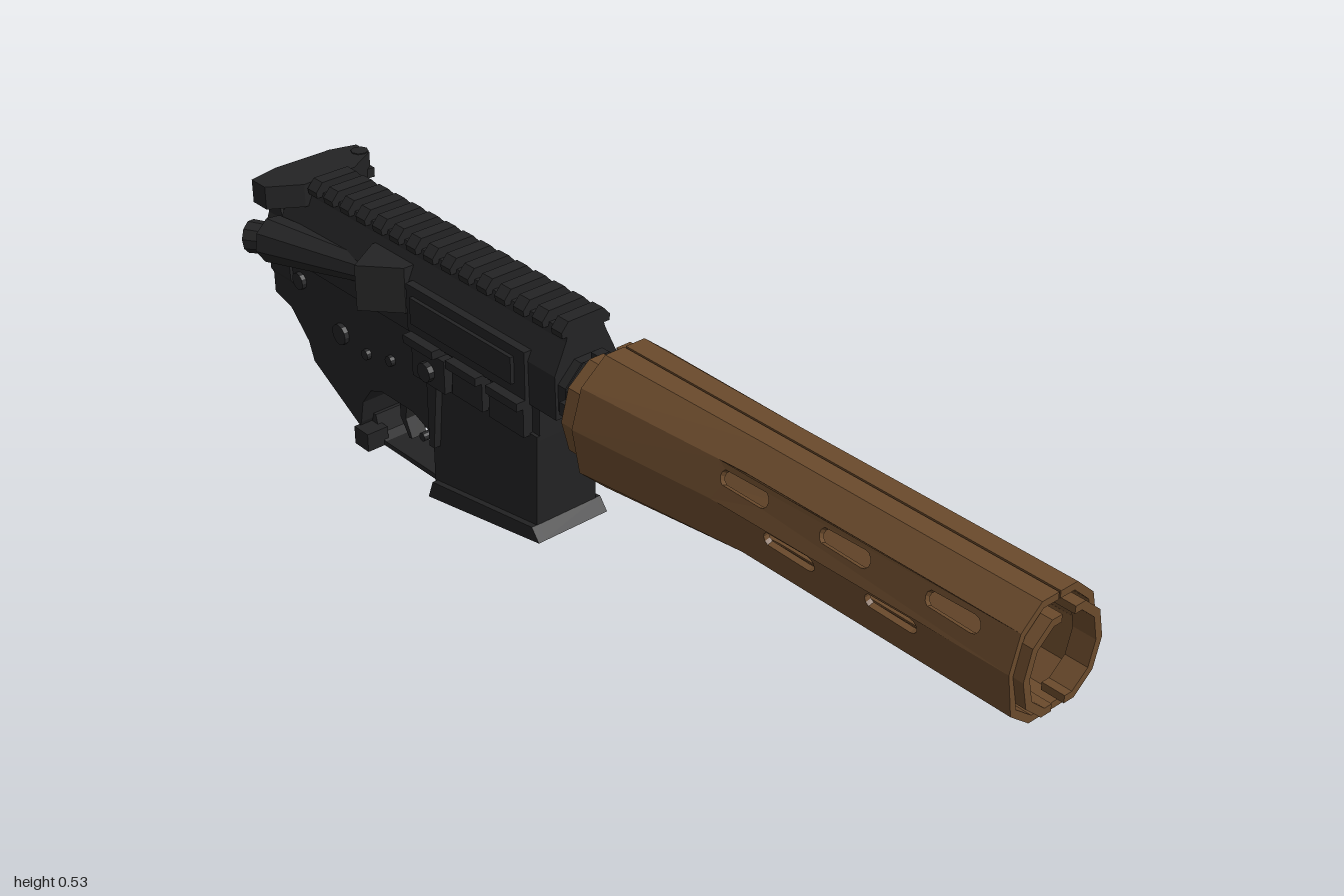
import * as THREE from 'three';

export function createModel() {
  const model = new THREE.Group();
  model.position.z = -0.022;
  const black = new THREE.MeshStandardMaterial({ color: 0x232324 });
  black.name = 'black metal';
  const brown = new THREE.MeshStandardMaterial({ color: 0x6a4a2c });
  brown.name = 'brown furniture';

  const add = (name, geo, mat = black) => {
    const flat = geo.index ? geo.toNonIndexed() : geo;
    flat.computeVertexNormals();
    const mesh = new THREE.Mesh(flat, mat);
    mesh.name = name;
    model.add(mesh);
    return mesh;
  };
  const shapeOf = pts => new THREE.Shape(pts.map(p => new THREE.Vector2(p[0], p[1])));
  // box given by its limits
  const box = (name, x0, x1, y0, y1, z0, z1) => add(name,
    new THREE.BoxGeometry(x1 - x0, y1 - y0, z1 - z0).translate((x0 + x1) / 2, (y0 + y1) / 2, (z0 + z1) / 2));
  // side outline (x, y) with thickness in z
  const plate = (name, pts, z0, z1, holes = []) => {
    const s = shapeOf(pts);
    s.holes = holes.map(shapeOf);
    return add(name, new THREE.ExtrudeGeometry(s, { depth: z1 - z0, bevelEnabled: false }).translate(0, 0, z0));
  };
  // cross-section (z, y) drawn out along x
  const along = (name, pts, x0, x1, mat) => add(name,
    new THREE.ExtrudeGeometry(shapeOf(pts.map(p => [-p[0], p[1]])), { depth: x1 - x0, bevelEnabled: false })
      .rotateY(Math.PI / 2).translate(x0, 0, 0), mat);
  // plan outline (x, z) with thickness in y
  const plan = (name, pts, y0, y1) => add(name,
    new THREE.ExtrudeGeometry(shapeOf(pts.map(p => [p[0], -p[1]])), { depth: y1 - y0, bevelEnabled: false })
      .rotateX(-Math.PI / 2).translate(0, y0, 0));
  // cylinder between two points
  const rod = (name, a, b, ra, rb, sides = 10) => {
    const A = new THREE.Vector3(...a), d = new THREE.Vector3(...b).sub(A), len = d.length();
    const q = new THREE.Quaternion().setFromUnitVectors(new THREE.Vector3(0, 1, 0), d.normalize());
    return add(name, new THREE.CylinderGeometry(rb, ra, len, sides).translate(0, len / 2, 0)
      .applyQuaternion(q).translate(A.x, A.y, A.z));
  };

  // ---- handguard: two mirrored hollow shells, tapering towards the middle ----
  const CY = 0.395, lerp = THREE.MathUtils.lerp;
  const rear = [[.002, .24], [.045, .24], [.105, .295], [.122, .39], [.1, .465], [.045, .51], [.002, .51]];
  const front = [[.002, .285], [.04, .285], [.085, .32], [.1, .405], [.082, .472], [.04, .51], [.002, .51]];
  const corner = (k, x) => {
    const t = THREE.MathUtils.clamp((x - 0.01) / 0.39, 0, 1);
    return [lerp(rear[k][0], front[k][0], t), lerp(rear[k][1], front[k][1], t)];
  };
  const slot = (k, x0, x1, yc) => {
    const r = 0.015, pts = [];
    for (let i = 0; i < 12; i++) {
      const a = -Math.PI / 2 + (i % 12) * Math.PI / 5.5 * (11 / 12);
      const right = Math.cos(a) >= 0;
      const x = (right ? x1 - r : x0 + r) + r * Math.cos(a), y = yc + r * Math.sin(a);
      const lo = corner(k, x)[1], hi = corner(k + 1, x)[1];
      pts.push([x, (y - lo) / (hi - lo)]);
    }
    return pts;
  };
  const panel = (k, xa, xb, slots, side) => {
    const s = shapeOf([[xa, 0], [xb, 0], [xb, 1], [xa, 1]]);
    s.holes = slots.map(h => shapeOf(slot(k, ...h)));
    const geo = new THREE.ExtrudeGeometry(s, { depth: 1, bevelEnabled: false });
    const p = geo.attributes.position;
    for (let i = 0; i < p.count; i++) {
      const x = p.getX(i), v = p.getY(i), f = lerp(0.88, 1, p.getZ(i));
      const a = corner(k, x), b = corner(k + 1, x);
      p.setXYZ(i, x, CY + (lerp(a[1], b[1], v) - CY) * f, side * lerp(a[0], b[0], v) * f);
    }
    if (side < 0) for (let i = 0; i < p.count; i += 3) { // keep mirrored faces outward
      const u = [p.getX(i), p.getY(i), p.getZ(i)];
      p.setXYZ(i, p.getX(i + 1), p.getY(i + 1), p.getZ(i + 1));
      p.setXYZ(i + 1, ...u);
    }
    add('handguardPanel', geo, brown);
  };
  const slots = {
    2: [[.46, .575, .385], [.685, .795, .385]],
    3: [[.35, .46, .447], [.575, .685, .447], [.80, .91, .447]],
  };
  for (const side of [1, -1]) {
    for (let k = 0; k < 6; k++) {
      const split = k === 3 ? 0.34 : 0.4;
      panel(k, 0.01, split, [], side);
      panel(k, split, 0.98, slots[k] || [], side);
    }
    // end collars, split top and bottom
    for (const [x0, x1, w, h, cy, f] of [[-.03, .03, .112, .102, .383, .8], [.955, 1, .09, .09, .397, .84]]) {
      const half = [[.015, -h], [.42 * w, -h], [.85 * w, -.62 * h], [w, 0], [.85 * w, .62 * h], [.42 * w, h], [.015, h]];
      const inner = half.map(([z, y], i) => [i % 6 ? z * f : z, y * f]).reverse();
      along('handguardCollar', [...half, ...inner].map(([z, y]) => [side * z, cy + y]), x0, x1, brown);
    }
  }

  // ---- upper receiver ----
  along('upperReceiver', [[-.07, .34], [.07, .34], [.072, .43], [.045, .49], [.04, .508], [-.04, .508], [-.045, .49], [-.072, .43]], -.94, -.095);
  for (let i = 0; i < 15; i++) {
    const x = -0.865 + i * 0.053;
    along('railTooth', [[-.054, .5], [.054, .5], [.056, .512], [.04, .53], [-.04, .53], [-.056, .512]], x, x + 0.029);
  }
  box('ejectionPortFrame', -.52, -.17, .35, .45, .06, .08);
  box('ejectionPortCover', -.5, -.2, .375, .43, .075, .088);
  for (const x of [-.51, -.38, -.26]) box('coverHinge', x, x + .09, .335, .352, .06, .1);
  plan('caseDeflector', [[-.65, .06], [-.6, .138], [-.53, .075], [-.53, .05], [-.65, .05]], .38, .475);
  rod('forwardAssistHousing', [-.64, .41, .045], [-.93, .395, .105], .025, .048, 8);
  rod('forwardAssistButton', [-.92, .395, .1], [-.975, .39, .125], .03, .034, 10);
  box('leftRib', -.8, -.62, .43, .46, -.082, -.06);
  box('leftRib', -.5, -.28, .43, .462, -.082, -.06);

  // charging handle with its latch
  plan('chargingHandle', [[-.97, -.07], [-.955, -.125], [-.91, -.125], [-.87, -.06], [-.87, .06], [-.91, .125], [-.955, .125], [-.97, .06]], .472, .52);
  plan('handleLatch', [[-.965, -.06], [-.95, -.13], [-.9, -.128], [-.905, -.09], [-.93, -.06]], .468, .488);
  rod('handleLatchTip', [-.925, .47, -.112], [-.925, .522, -.112], .018, .018, 8);

  // barrel nut
  rod('barrelNeck', [-.11, .385, 0], [-.05, .385, 0], .058, .058, 16);
  for (const [x, r] of [[-.095, .07], [-.066, .078]])
    add('barrelNutRing', new THREE.CylinderGeometry(r, r, .02, 8).rotateY(Math.PI / 8).rotateZ(Math.PI / 2).translate(x + .01, .385, 0));
  for (let i = 0; i < 4; i++) {
    const a = i * Math.PI / 2, y = .385 + Math.cos(a) * .073, z = Math.sin(a) * .073;
    box('nutLug', -.066, -.046, y - .013, y + .013, z - .013, z + .013);
  }
  add('barrelBore', new THREE.TorusGeometry(.032, .009, 6, 16).rotateY(Math.PI / 2).translate(-.048, .385, 0));

  // ---- lower receiver ----
  plate('lowerReceiver', [[-1, .235], [-.945, .22], [-.89, .165], [-.875, .125], [-.725, .04], [-.72, .05], [-.71, .1],
    [-.68, .14], [-.64, .155], [-.54, .155], [-.49, .135], [-.468, .1], [-.455, .1], [-.455, .27], [-.15, .27], [-.15, .35], [-.94, .35], [-.96, .46], [-1, .46]], -.064, .064);
  along('bufferTower', [[-.04, .24], [.04, .24], [.07, .29], [.073, .39], [.05, .455], [-.05, .455], [-.073, .39], [-.07, .29]], -1, -.93);
  rod('towerRing', [-1, .37, 0], [-.985, .37, 0], .062, .062, 16);

  // hollow magazine well
  const well = [[-.465, .01], [-.155, .075], [-.15, .28], [-.465, .28]];
  for (const side of [1, -1]) plate('magazineWellSide', well, side * .062 - .009, side * .062 + .009);
  plate('magazineWellFront', [[-.172, .075], [-.155, .075], [-.15, .28], [-.17, .28]], -.07, .07);
  plate('magazineWellBack', [[-.468, .01], [-.445, .013], [-.445, .28], [-.468, .28]], -.07, .07);
  for (const side of [1, -1])
    plate('magazineWellLip', [[-.475, 0], [-.135, .062], [-.155, .088], [-.46, .04]], side * .074 - .009, side * .074 + .009);
  plate('magazineWellLipFront', [[-.155, .059], [-.135, .062], [-.155, .088], [-.17, .085]], -.08, .08);

  // trigger guard and trigger
  plate('triggerGuard', [[-.73, 0], [-.47, 0], [-.465, .04], [-.478, .022], [-.5, .011], [-.68, .011], [-.7, .02], [-.71, .06], [-.73, .06]], -.035, .035);
  for (const side of [1, -1]) box('guardLug', -.73, -.685, 0, .04, side * .05 - .025, side * .05 + .025);
  plate('trigger', [[-.655, .17], [-.6, .17], [-.625, .12], [-.63, .08], [-.612, .042], [-.622, .04], [-.648, .078], [-.648, .12]], -.018, .018);

  // controls and pins on both sides
  box('magazineButtonFence', -.5, -.4, .265, .335, .055, .088);
  rod('magazineButton', [-.45, .295, .08], [-.45, .295, .1], .02, .02);
  plate('magazineFenceRib', [[-.46, .125], [-.445, .125], [-.43, .27], [-.46, .27]], .06, .086);
  box('pivotBoss', -.38, -.29, .275, .335, .055, .085);
  box('pivotBoss', -.27, -.17, .275, .335, .055, .085);
  plate('boltCatch', [[-.48, .19], [-.45, .18], [-.43, .26], [-.44, .35], [-.48, .35], [-.47, .26]], -.086, -.06);
  box('boltCatchPad', -.5, -.44, .31, .345, -.095, -.06);
  box('magazineCatchBar', -.4, -.31, .2, .235, -.082, -.06);
  const lever = box('selectorLever', -.83, -.73, .245, .265, -.085, -.06);
  lever.name = 'selectorLever';
  for (const [x, y, r] of [[-.765, .235, .022], [-.6, .245, .011], [-.68, .225, .011], [-.9, .3, .018], [-.2, .3, .018], [-.5, .12, .009]])
    rod('crossPin', [x, y, -.078], [x, y, .074], r, r, 12);
  return model;
}
